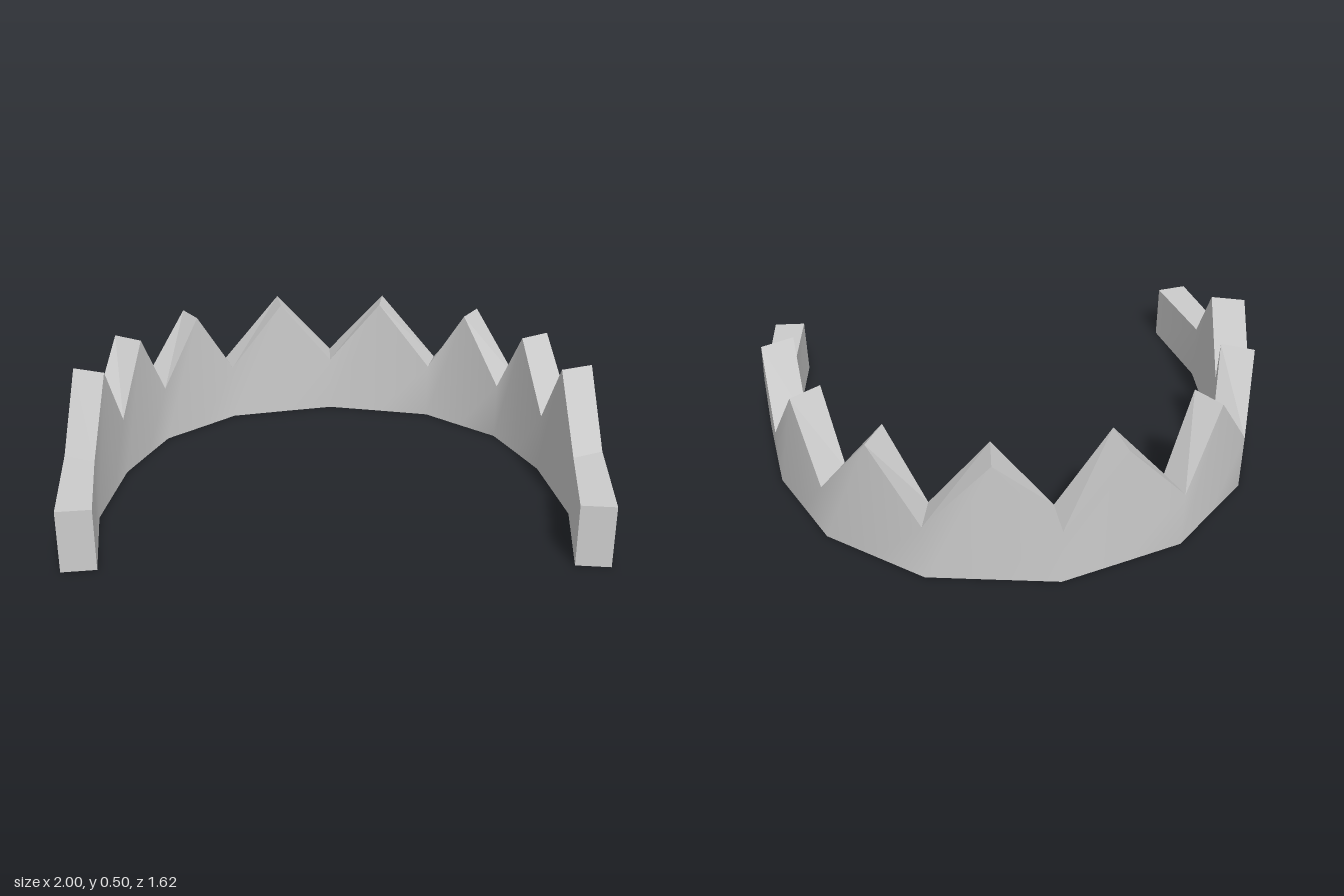
import * as THREE from 'three';

const VALLEY = 0.232, PEAK = 0.505;

// Plan of one half, back centre to front end: outer x, z, inner x, z
// (valleys and peaks alternate; the last station is the plain band end)
const HALF = [
  [0, -0.81, 0, -0.66],
  [0.237, -0.753, 0.217, -0.612],
  [0.475, -0.695, 0.435, -0.562],
  [0.64, -0.55, 0.57, -0.438],
  [0.805, -0.405, 0.706, -0.315],
  [0.883, -0.218, 0.77, -0.15],
  [0.962, -0.03, 0.834, 0.018],
  [0.981, 0.163, 0.857, 0.213],
  [1, 0.356, 0.88, 0.41],
  [0.947, 0.805, 0.823, 0.79],
];

// Cross-section ring at a station: inner bottom, inner top, outer top, outer bottom
function section([ox, oz, ix, iz], index, side) {
  const top = index % 2 && index < HALF.length - 1 ? PEAK : VALLEY;
  return [
    [side * ix, 0, iz], [side * ix, top, iz],
    [side * ox, top, oz], [side * ox, 0, oz],
  ];
}

// Surface between two matching rows of points
function strip(a, b, flat) {
  const index = [];
  const n = a.length;
  for (let i = 0; i < n - 1; i++) {
    index.push(i, i + 1, n + i + 1, i, n + i + 1, n + i);
  }
  let geometry = new THREE.BufferGeometry();
  geometry.setAttribute('position', new THREE.Float32BufferAttribute([...a, ...b].flat(), 3));
  geometry.setIndex(index);
  if (flat) geometry = geometry.toNonIndexed();
  geometry.computeVertexNormals();
  return geometry;
}

export function createModel() {
  const model = new THREE.Group();
  model.name = 'crown';
  const material = new THREE.MeshStandardMaterial({ color: 0xcccccc });
  const add = (name, geometry) => {
    const mesh = new THREE.Mesh(geometry, material);
    mesh.name = name;
    model.add(mesh);
  };

  // Full run of sections from the right end, round the back, to the left end
  const left = HALF.map((s, i) => section(s, i, 1));
  const right = HALF.map((s, i) => section(s, i, -1));
  const rings = [...right.slice(1).reverse(), ...left];
  const row = (k) => rings.map((ring) => ring[k % 4]);

  // Smooth walls, flat toothed top and flat underside
  ['innerWall', 'toothedTop', 'outerWall', 'underside'].forEach((name, k) => {
    add(name, strip(row(k), row(k + 1), k % 2 === 1));
  });

  // Flat caps on the two open ends
  const [p, q, r, s] = rings[0];
  add('rightEnd', strip([p, q], [s, r], true));
  const [a, b, c, d] = rings[rings.length - 1];
  add('leftEnd', strip([d, c], [a, b], true));

  return model;
}
